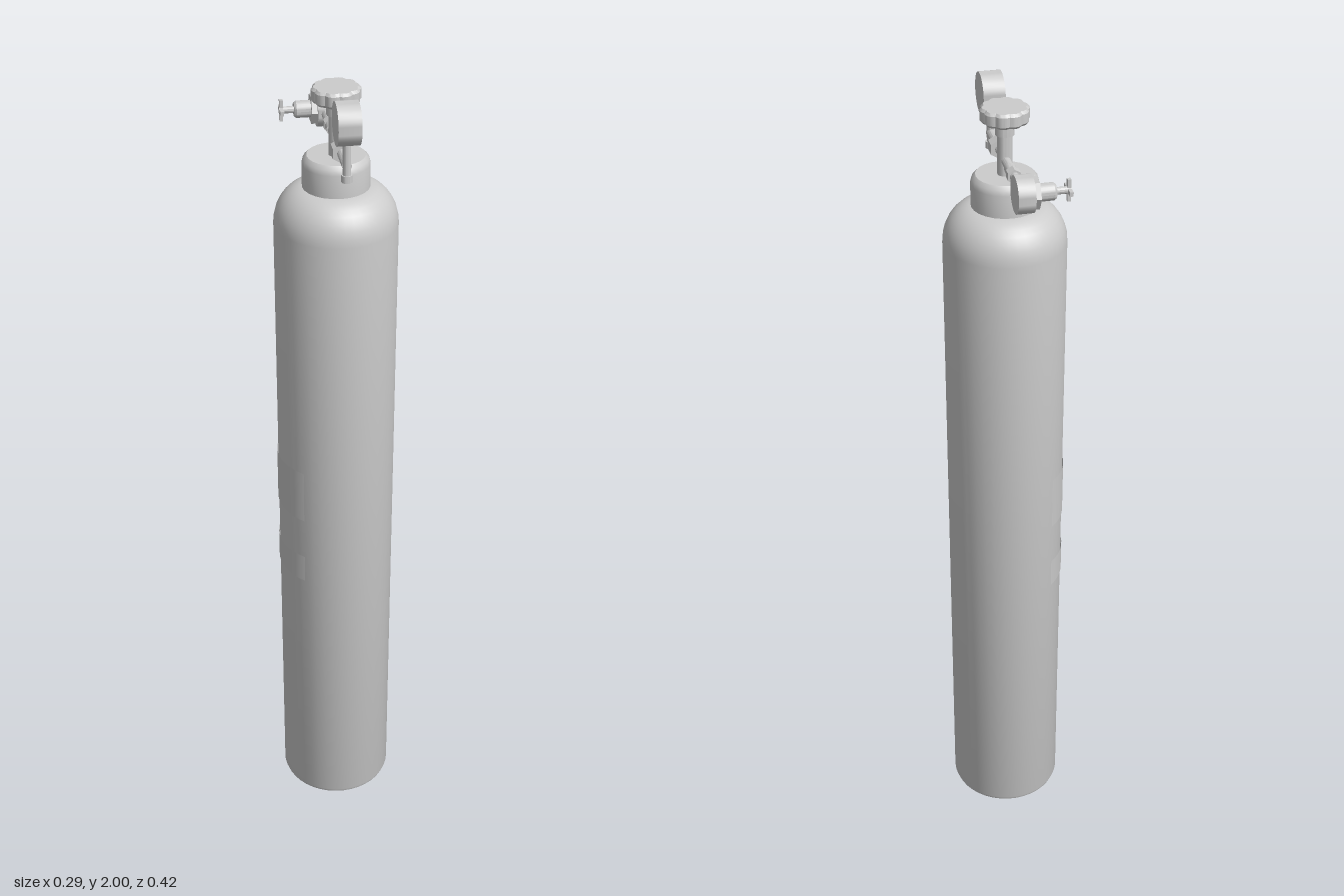
import * as THREE from 'three';
import { toCreasedNormals } from 'three/addons/utils/BufferGeometryUtils.js';

export function createModel() {
  const model = new THREE.Group();
  model.name = 'gasCylinder';
  const steel = new THREE.MeshStandardMaterial({ color: 0xcccccc });
  steel.name = 'paleGreySteel';
  const label = new THREE.MeshStandardMaterial({ color: 0xc8c8c8, side: THREE.DoubleSide });
  label.name = 'labelGrey';

  const AXIS_Z = 0.015; // axis of the tank
  const PIPE_Y = 1.857; // height of the side pipe

  function add(name, geometry, x, y, z, parent = model, material = steel) {
    const mesh = new THREE.Mesh(geometry, material);
    mesh.name = name;
    mesh.position.set(x, y, z);
    parent.add(mesh);
    return mesh;
  }
  // Turned part about the y axis, with sharp edges kept
  function lathe(name, points, segments, z, y = 0, parent = model) {
    const geo = new THREE.LatheGeometry(points.map(p => new THREE.Vector2(p[0], p[1])), segments);
    return add(name, toCreasedNormals(geo, 0.6), 0, y, z, parent);
  }
  // Cylinder lying along an axis, centred at a point
  function rod(name, radius, length, axis, x, y, z, sides = 16, parent = model) {
    const geo = new THREE.CylinderGeometry(radius, radius, length, sides);
    if (axis === 'x') geo.rotateZ(Math.PI / 2);
    if (axis === 'z') geo.rotateX(Math.PI / 2);
    return add(name, toCreasedNormals(geo, 0.6), x, y, z, parent);
  }

  // Tank body with rounded shoulder
  const profile = [[0, 0], [0.13, 0], [0.138, 0.004], [0.142, 0.014], [0.142, 1.66]];
  for (let i = 1; i <= 8; i++) {
    const a = (i / 8) * Math.PI / 2;
    profile.push([0.067 + 0.075 * Math.cos(a), 1.66 + 0.09 * Math.sin(a)]);
  }
  profile.push([0, 1.75]);
  lathe('tankBody', profile, 40, AXIS_Z);

  // Collar
  lathe('neckCollar', [[0, 1.735], [0.077, 1.735], [0.077, 1.802], [0.074, 1.814],
    [0.066, 1.822], [0, 1.822]], 24, AXIS_Z);

  // Thin curved label plates on the right side
  for (const [low, high] of [[0.725, 0.8], [0.91, 1.05]]) {
    const span = 1.7;
    const geo = new THREE.CylinderGeometry(0.1445, 0.1445, high - low, 16, 1, true,
      Math.PI * 1.5 - span / 2, span);
    add('labelPlate', geo, 0, (low + high) / 2, AXIS_Z, model, label);
  }

  // Valve stem
  lathe('valveStem', [[0, 1.81], [0.017, 1.81], [0.017, 1.915], [0.022, 1.915],
    [0.022, 1.95], [0, 1.95]], 16, AXIS_Z);

  // Scalloped hand wheel
  const wheel = new THREE.Shape();
  const lobes = 10, steps = 80;
  for (let i = 0; i < steps; i++) {
    const a = (i / steps) * Math.PI * 2;
    const r = 0.0455 + 0.005 * Math.abs(Math.cos(a * lobes / 2));
    const px = r * Math.cos(a), py = r * Math.sin(a);
    if (i) wheel.lineTo(px, py); else wheel.moveTo(px, py);
  }
  wheel.closePath();
  const wheelGeo = new THREE.ExtrudeGeometry(wheel, {
    depth: 0.022, bevelEnabled: true, bevelSize: 0.005, bevelThickness: 0.006, bevelSegments: 1,
  });
  wheelGeo.rotateX(-Math.PI / 2);
  add('handWheel', toCreasedNormals(wheelGeo, 0.5), 0, 1.951, AXIS_Z);

  // Side pipe and its nuts
  rod('sidePipe', 0.0105, 0.3, 'z', 0, PIPE_Y, 0.015);
  rod('frontNut', 0.023, 0.03, 'z', 0, PIPE_Y, 0.081, 6);
  rod('backNut', 0.0165, 0.022, 'z', 0, PIPE_Y, -0.071, 6);
  rod('backSleeve', 0.0135, 0.022, 'z', 0, PIPE_Y, -0.049);

  // Front gauge on its upright post
  const frontGauge = new THREE.Group();
  frontGauge.name = 'frontGauge';
  model.add(frontGauge);
  rod('gaugeBody', 0.047, 0.05, 'x', 0, 1.953, 0.162, 32, frontGauge);
  rod('gaugePost', 0.009, 0.1, 'y', 0, 1.87, 0.162, 16, frontGauge);
  rod('postCap', 0.012, 0.016, 'y', 0, 1.829, 0.162, 16, frontGauge);

  // Back gauge with regulator
  const regulator = new THREE.Group();
  regulator.name = 'regulator';
  model.add(regulator);
  const RZ = -0.169;
  rod('gaugeBody', 0.0415, 0.038, 'x', 0.001, PIPE_Y, RZ, 32, regulator);
  rod('hexFlange', 0.035, 0.014, 'x', -0.024, PIPE_Y, RZ, 6, regulator);
  const bonnet = lathe('bonnet', [[0, 0], [0.0195, 0], [0.0195, 0.034], [0.016, 0.039], [0, 0.039]],
    20, RZ, PIPE_Y, regulator);
  bonnet.position.x = -0.03;
  bonnet.rotation.z = Math.PI / 2;
  rod('spindle', 0.008, 0.038, 'x', -0.084, PIPE_Y, RZ, 12, regulator);

  // Cross handle
  for (let i = 0; i < 2; i++) {
    const arm = add('crossArm', new THREE.BoxGeometry(0.008, 0.05, 0.01), -0.098, PIPE_Y, RZ, regulator);
    arm.rotation.x = i * Math.PI / 2;
  }

  return model;
}
